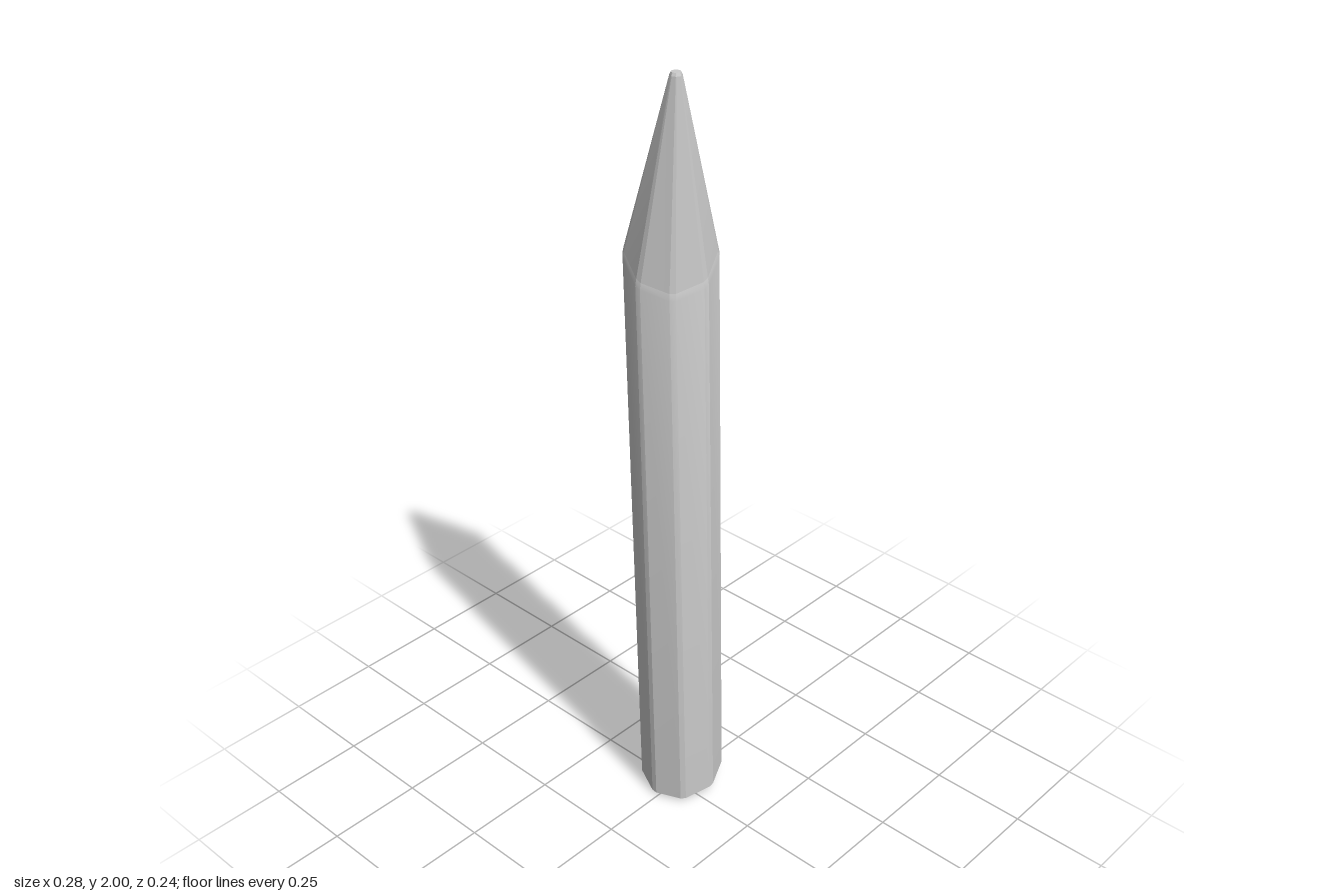
import * as THREE from 'three';
import { toCreasedNormals } from 'three/addons/utils/BufferGeometryUtils.js';

const SIDES = 8;
const CHAMFER = 0.065; // half angle of the narrow strip along each long edge

// Octagon with chamfered corners, lying on a sloped plane
function ring(x, y, z, r, slopeX = 0, slopeZ = 0) {
  const points = [];
  for (let i = 0; i < SIDES; i++) {
    for (const s of [-1, 1]) {
      const t = (i / SIDES) * Math.PI * 2 + s * CHAMFER;
      const dx = Math.cos(t) * r, dz = Math.sin(t) * r;
      points.push(new THREE.Vector3(x + dx, y + dx * slopeX + dz * slopeZ, z + dz));
    }
  }
  return points;
}

// Skin a stack of rings from bottom to top, with optional flat caps
function loft(rings, capBottom, capTop) {
  const n = SIDES * 2, positions = [];
  const tri = (...corners) => corners.forEach((p) => positions.push(p.x, p.y, p.z));
  for (let k = 0; k < rings.length - 1; k++) {
    const lo = rings[k], hi = rings[k + 1];
    for (let i = 0; i < n; i++) {
      const j = (i + 1) % n;
      tri(lo[i], hi[i], hi[j]);
      tri(lo[i], hi[j], lo[j]);
    }
  }
  const first = rings[0], last = rings[rings.length - 1];
  for (let i = 1; i < n - 1; i++) {
    if (capBottom) tri(first[0], first[i], first[i + 1]);
    if (capTop) tri(last[0], last[i + 1], last[i]);
  }
  const geometry = new THREE.BufferGeometry();
  geometry.setAttribute('position', new THREE.Float32BufferAttribute(positions, 3));
  return toCreasedNormals(geometry, 0.3);
}

export function createModel() {
  const model = new THREE.Group();
  model.name = 'stake';
  const material = new THREE.MeshStandardMaterial({ color: 0xcccccc });
  const add = (name, geometry) => {
    const mesh = new THREE.Mesh(geometry, material);
    mesh.name = name;
    model.add(mesh);
  };

  // Leaning shaft with a slanted, slightly bevelled foot
  const shoulder = ring(-0.032, 1.575, 0.012, 0.104, 0.42, -0.42);
  add('shaft', loft([
    ring(0.033, 0.029, -0.013, 0.099, 0.26, -0.1),
    ring(0.033, 0.037, -0.013, 0.107, 0.26, -0.1),
    ring(-0.032, 1.56, 0.012, 0.107, 0.42, -0.42),
    shoulder,
  ], true, false));

  // Off-centre sharpened point with a small blunt tip
  add('point', loft([
    shoulder,
    ring(-0.078, 1.993, 0.07, 0.014),
    ring(-0.078, 2, 0.07, 0.011),
  ], false, true));

  return model;
}
